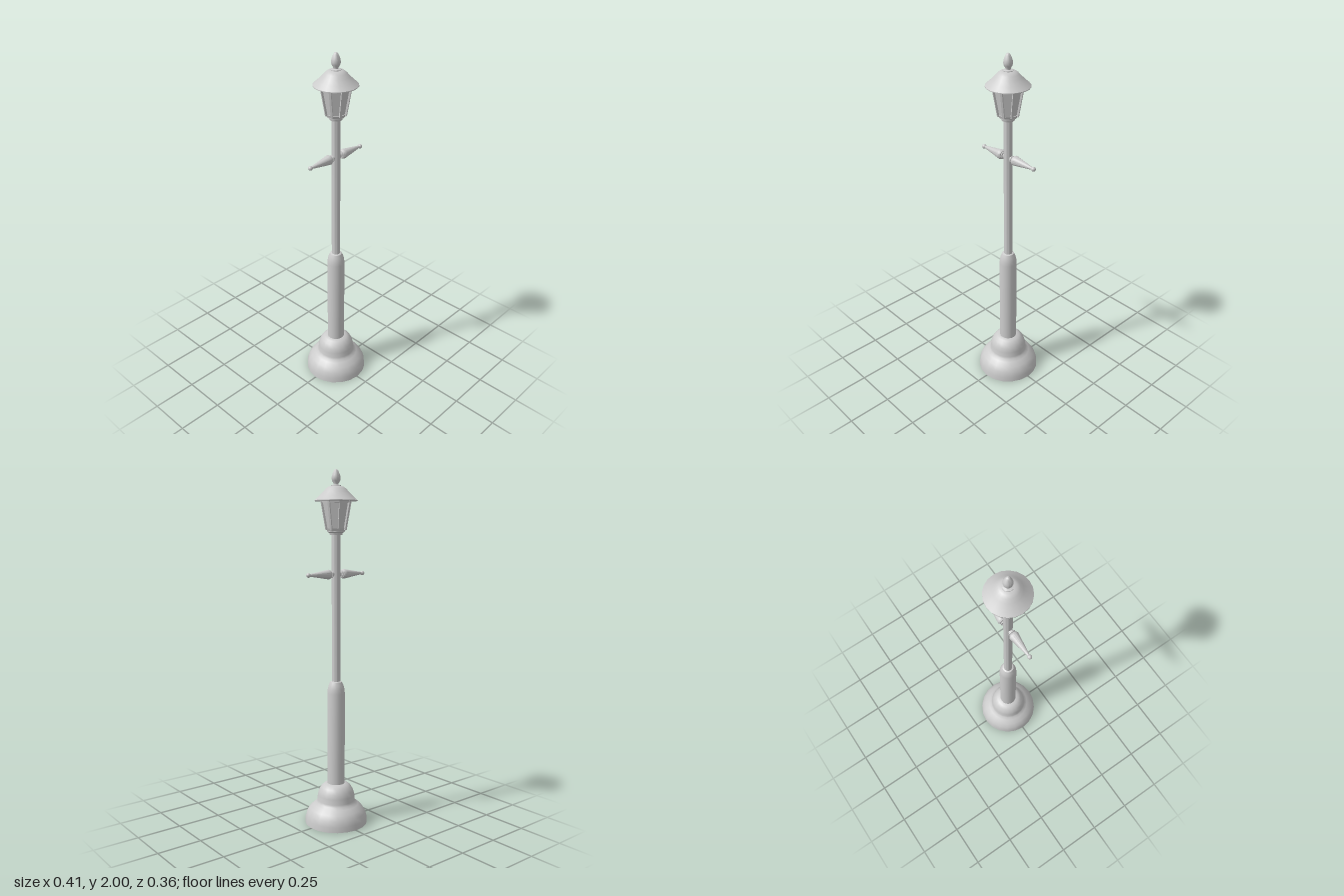
import * as THREE from 'three';
import { toCreasedNormals } from 'three/addons/utils/BufferGeometryUtils.js';

const SIDES = 20;
const grey = new THREE.MeshStandardMaterial({ color: 0xcccccc });
const faceted = new THREE.MeshStandardMaterial({ color: 0xcccccc, flatShading: true });

// Turned part from [radius, height] pairs, listed bottom to top
function turned(name, profile, sides = SIDES) {
  const points = profile.map(([r, y]) => new THREE.Vector2(r, y));
  const mesh = new THREE.Mesh(toCreasedNormals(new THREE.LatheGeometry(points, sides), 0.75), grey);
  mesh.name = name;
  return mesh;
}

// Eight-sided ring or body with a flat side to the front
function octagon(name, rTop, rBottom, y0, y1) {
  const geo = new THREE.CylinderGeometry(rTop, rBottom, y1 - y0, 8, 1, false, Math.PI / 8);
  const mesh = new THREE.Mesh(geo, faceted);
  mesh.position.y = (y0 + y1) / 2;
  mesh.name = name;
  return mesh;
}

function createLantern() {
  const lantern = new THREE.Group();
  lantern.name = 'lantern';
  const y0 = 1.675, y1 = 1.83, r0 = 0.054, r1 = 0.082;

  lantern.add(turned('lanternCup', [[0, 1.648], [0.034, 1.648], [0.037, 1.66], [0.047, 1.664], [0.047, 1.672], [0, 1.672]]));
  lantern.add(octagon('bottomRail', 0.056, 0.05, 1.668, 1.682));
  lantern.add(octagon('glass', r1 - 0.004, r0 - 0.004, y0, y1));
  lantern.add(octagon('topRail', 0.087, 0.085, 1.82, 1.833));

  // Sloping bars along the corners of the glass
  const length = Math.hypot(r1 - r0, y1 - y0);
  for (let i = 0; i < 8; i++) {
    const corner = new THREE.Group();
    corner.name = 'cornerBar';
    corner.rotation.y = ((i + 0.5) * Math.PI) / 4;
    const bar = new THREE.Mesh(new THREE.BoxGeometry(0.01, length, 0.011), faceted);
    bar.position.set((r0 + r1) / 2, (y0 + y1) / 2, 0);
    bar.rotation.z = -Math.atan2(r1 - r0, y1 - y0);
    corner.add(bar);
    lantern.add(corner);
  }

  // Roof and finial
  lantern.add(turned('roof', [
    [0, 1.83], [0.118, 1.83], [0.118, 1.834], [0.094, 1.855], [0.071, 1.878],
    [0.056, 1.895], [0.042, 1.906], [0.025, 1.91], [0, 1.91],
  ]));
  lantern.add(turned('finial', [
    [0.027, 1.908], [0.027, 1.913], [0.014, 1.917], [0.014, 1.923], [0.022, 1.936],
    [0.025, 1.95], [0.022, 1.967], [0.015, 1.984], [0.008, 1.996], [0, 2],
  ], 16));
  return lantern;
}

// Ladder-rest arm, pointing to +x
function createArm(name) {
  const arm = new THREE.Group();
  arm.name = name;
  const spindle = turned('armSpindle', [
    [0.013, 0.015], [0.013, 0.03], [0.02, 0.032], [0.02, 0.037], [0.014, 0.04],
    [0.021, 0.042], [0.027, 0.052], [0.025, 0.066], [0.007, 0.18],
  ], 16);
  spindle.rotation.z = -Math.PI / 2;
  const ball = new THREE.Mesh(new THREE.SphereGeometry(0.0125, 16, 12), grey);
  ball.name = 'armBall';
  ball.position.x = 0.19;
  arm.add(spindle, ball);
  arm.position.y = 1.435;
  return arm;
}

export function createModel() {
  const model = new THREE.Group();
  model.name = 'streetLamp';

  // Bell-shaped foot
  model.add(turned('base', [
    [0, 0], [0.18, 0], [0.178, 0.03], [0.169, 0.062], [0.152, 0.088], [0.128, 0.11],
    [0.113, 0.122], [0.108, 0.135], [0.106, 0.165], [0.099, 0.19], [0.086, 0.213],
    [0.069, 0.228], [0.05, 0.234], [0, 0.234],
  ]));

  // Thick lower sleeve with a rounded shoulder, then the slim pole
  model.add(turned('lowerColumn', [
    [0.05, 0.23], [0.05, 0.765], [0.047, 0.79], [0.041, 0.813], [0.033, 0.83], [0.022, 0.834],
  ]));
  model.add(turned('pole', [[0.024, 0.82], [0.024, 1.655]]));

  // Pair of arms
  const left = createArm('leftArm');
  const right = createArm('rightArm');
  right.rotation.y = Math.PI;
  model.add(left, right);

  model.add(createLantern());
  return model;
}
